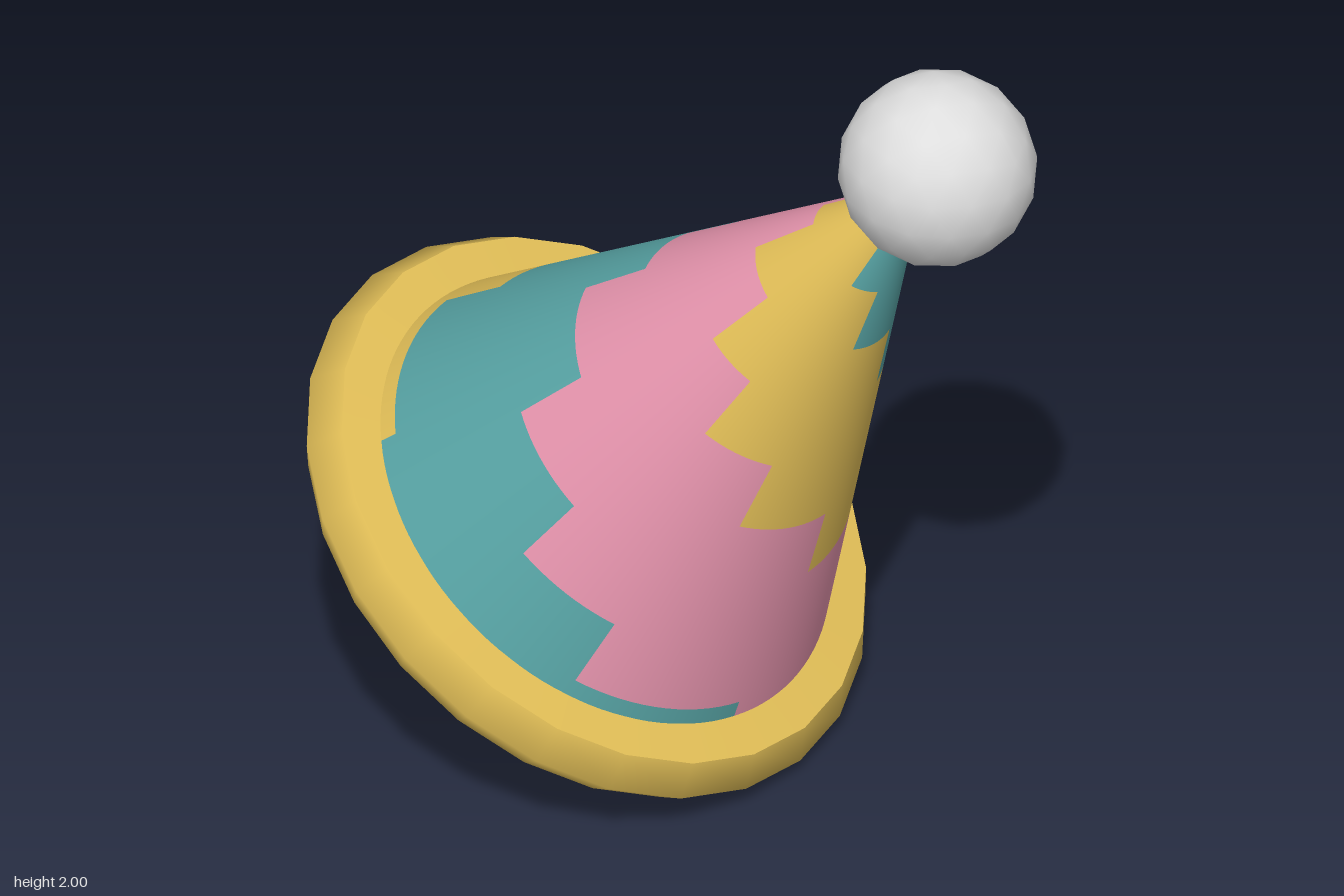
import * as THREE from 'three';
import { mergeGeometries } from 'three/addons/utils/BufferGeometryUtils.js';

const material = (name, color) => {
  const m = new THREE.MeshStandardMaterial({ color });
  m.name = name;
  return m;
};

const deg = Math.PI / 180;
const coneRadius = (h) => 0.665 - 0.408 * h;

// Stepped spiral: height bands, and the angle where pink begins in each.
// All angles are multiples of 3 so that neighbouring bands share corners.
const bandEdges = [0.04, 0.05, 0.2, 0.36, 0.52, 0.685, 0.85, 1.01, 1.17, 1.325, 1.5];
const bandAngles = [-135, -105, -60, -30, 3, 42, 75, 105, 147, 180];

// One 120 degree stripe winding round the cone
function stripeGeometry(offset) {
  return mergeGeometries(bandAngles.map((angle, i) => {
    const low = bandEdges[i], high = bandEdges[i + 1];
    const start = (90 - (angle + offset) - 120) * deg;
    const patch = new THREE.CylinderGeometry(
      coneRadius(high), coneRadius(low), high - low, 40, 1, true, start, 120 * deg);
    return patch.translate(0, (low + high) / 2, 0);
  }));
}

export function createModel() {
  const pink = material('pink', 0xe493ac);
  const teal = material('teal', 0x57a3a4);
  const yellow = material('yellow', 0xe1be57);
  const white = material('white', 0xdedede);

  const model = new THREE.Group();
  const hat = new THREE.Group();
  hat.name = 'partyHat';
  model.add(hat);

  const add = (name, geometry, mat) => {
    const mesh = new THREE.Mesh(geometry, mat);
    mesh.name = name;
    hat.add(mesh);
    return mesh;
  };

  // Cone, one mesh per stripe
  add('pinkStripe', stripeGeometry(0), pink);
  add('tealStripe', stripeGeometry(120), teal);
  add('yellowStripe', stripeGeometry(240), yellow);

  // Closed underside of the cone, set slightly into the brim
  add('underside', new THREE.CircleGeometry(0.66, 24).rotateX(Math.PI / 2), pink).position.y = 0.045;

  // Brim: separate profiles keep the edges between them sharp
  const profiles = [
    [[0.655, 0.05], [0.7, 0]],
    [[0.7, 0], [0.746, 0.072], [0.7, 0.153]],
    [[0.7, 0.153], [0.597, 0.162]],
  ];
  add('brim', mergeGeometries(profiles.map((p) =>
    new THREE.LatheGeometry(p.map(([r, y]) => new THREE.Vector2(r, y)), 24))), yellow);

  // Pompom on the tip
  add('pompom', new THREE.IcosahedronGeometry(0.231, 2), white).position.y = 1.682;

  // Lean the whole hat to its left and slightly back
  const up = new THREE.Vector3(0.59, 0.807, -0.034).normalize();
  const across = new THREE.Vector3(0.807, -0.59, 0).normalize();
  const forward = new THREE.Vector3().crossVectors(across, up);
  hat.quaternion.setFromRotationMatrix(new THREE.Matrix4().makeBasis(across, up, forward));
  hat.position.set(-0.327, 0.415, 0);
  return model;
}
